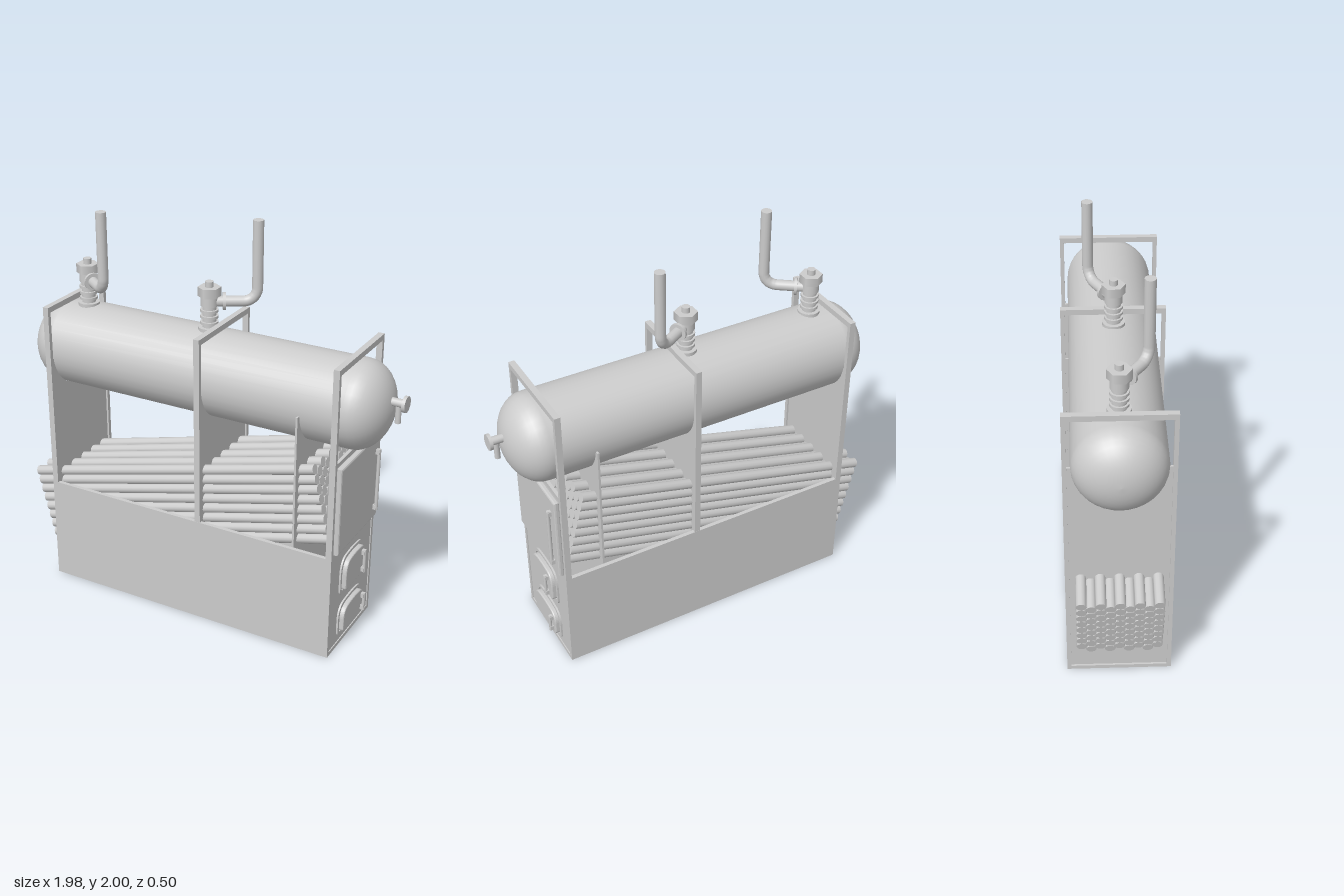
import * as THREE from 'three';

const mat = new THREE.MeshStandardMaterial({ color: 0xcccccc, side: THREE.DoubleSide });

function add(parent, name, geo, x = 0, y = 0, z = 0) {
  const m = new THREE.Mesh(geo, mat);
  m.name = name;
  m.position.set(x, y, z);
  parent.add(m);
  return m;
}
function group(parent, name) {
  const g = new THREE.Group();
  g.name = name;
  parent.add(g);
  return g;
}
const box = (w, h, d) => new THREE.BoxGeometry(w, h, d);
const cyl = (r, h, n = 16) => new THREE.CylinderGeometry(r, r, h, n);

// Extrudes a shape drawn in the (-z, y) plane along +x
function extrudeX(shape, depth, bevel = 0) {
  return new THREE.ExtrudeGeometry(shape, {
    depth, curveSegments: 10, bevelEnabled: bevel > 0,
    bevelSize: bevel, bevelThickness: bevel, bevelOffset: -bevel, bevelSegments: 2,
  }).rotateY(Math.PI / 2);
}

function rectPath(Type, w, y0, y1) {
  const p = new Type();
  p.moveTo(-w, y0);
  p.lineTo(w, y0);
  p.lineTo(w, y1);
  p.lineTo(-w, y1);
  p.closePath();
  return p;
}

// Arched fire-door outline with rounded lower corners
function archPath(Type, w, y0, y1) {
  const r = 0.02, k = y0 + (y1 - y0) * 0.55, t = w * 0.55;
  const p = new Type();
  p.moveTo(-w + r, y0);
  p.lineTo(w - r, y0);
  p.quadraticCurveTo(w, y0, w, y0 + r);
  p.lineTo(w, k);
  p.quadraticCurveTo(w * 0.97, y1 - 0.01, t, y1 - 0.003);
  p.quadraticCurveTo(0, y1 + 0.006, -t, y1 - 0.003);
  p.quadraticCurveTo(-w * 0.97, y1 - 0.01, -w, k);
  p.lineTo(-w, y0 + r);
  p.quadraticCurveTo(-w, y0, -w + r, y0);
  return p;
}

const DRUM_Y = 1.255, DRUM_R = 0.215;

// Support plate with a round cradle for the drum
function saddleShape(w, y0, y1) {
  const a = Math.asin((y1 - DRUM_Y) / DRUM_R);
  const s = new THREE.Shape();
  s.moveTo(-w, y0);
  s.lineTo(w, y0);
  s.lineTo(w, y1);
  s.absarc(0, DRUM_Y, DRUM_R, a, -Math.PI - a, true);
  s.lineTo(-w, y1);
  s.closePath();
  return s;
}

function addHandle(parent, z, y0, y1, x, r) {
  const g = group(parent, 'doorHandle');
  add(g, 'handleBar', cyl(r, y1 - y0, 10), x, (y0 + y1) / 2, z);
  for (const y of [y0 + 0.015, y1 - 0.015])
    add(g, 'handleBracket', box(x - 0.755, 0.024, 0.022), (x + 0.763) / 2, y, z);
}

function addFireDoor(parent, w, y0, y1, handleZ) {
  const g = group(parent, 'fireDoor');
  const rim = archPath(THREE.Shape, w + 0.02, y0 - 0.018, y1 + 0.018);
  rim.holes.push(archPath(THREE.Path, w + 0.005, y0 - 0.004, y1 + 0.004));
  add(g, 'doorSurround', extrudeX(rim, 0.012), 0.752);
  add(g, 'doorLeaf', extrudeX(archPath(THREE.Shape, w, y0, y1), 0.022, 0.006), 0.756);
  addHandle(g, handleZ, y0 + 0.015, y1 - 0.025, 0.797, 0.008);
}

// Safety valve with a discharge pipe leading to (px, pz)
function addValve(parent, x, px, pz) {
  const g = group(parent, 'safetyValve');
  const stack = [ // radius, bottom, top
    [0.054, 1.45, 1.48], [0.034, 1.48, 1.64], [0.044, 1.495, 1.508], [0.044, 1.525, 1.538],
    [0.044, 1.555, 1.568], [0.042, 1.585, 1.635], [0.02, 1.67, 1.705],
  ];
  for (const [r, a, b] of stack) add(g, 'valveBody', cyl(r, b - a, 20), x, (a + b) / 2, 0);
  add(g, 'valveCap', cyl(0.056, 0.045, 6), x, 1.655, 0);
  const y = 1.605, bend = 0.065;
  const start = new THREE.Vector3(x, y, 0), corner = new THREE.Vector3(px, y, pz);
  const dir = corner.clone().sub(start).normalize();
  const bendStart = corner.clone().addScaledVector(dir, -bend);
  const bendEnd = new THREE.Vector3(px, y + bend, pz);
  const top = new THREE.Vector3(px, 2, pz);
  const across = dir.clone().multiplyScalar(bend);
  const pts = [start];
  for (let i = 0; i <= 8; i++) {
    const a = (i / 8) * Math.PI / 2;
    pts.push(bendStart.clone().addScaledVector(across, Math.sin(a))
      .add(new THREE.Vector3(0, bend * (1 - Math.cos(a)), 0)));
  }
  pts.push(bendEnd.clone().lerp(top, 0.1), top);
  const path = new THREE.CurvePath();
  for (let i = 1; i < pts.length; i++) path.add(new THREE.LineCurve3(pts[i - 1], pts[i]));
  add(g, 'dischargePipe', new THREE.TubeGeometry(path, 64, 0.026, 14));
  add(g, 'pipeEnd', new THREE.CircleGeometry(0.026, 14).rotateX(-Math.PI / 2), px, 2, pz);
  const p = start.clone().addScaledVector(dir, 0.07);
  const flange = add(g, 'pipeFlange', cyl(0.043, 0.014, 18), p.x, p.y, p.z);
  flange.quaternion.setFromUnitVectors(new THREE.Vector3(0, 1, 0), dir);
}

export function createModel() {
  const model = new THREE.Group();
  model.name = 'waterTubeBoiler';

  // Open-topped brick casing
  const casing = group(model, 'casing');
  for (const s of [-1, 1]) add(casing, 'sideWall', box(1.58, 0.55, 0.02), -0.03, 0.275, s * 0.24);
  add(casing, 'floor', box(1.58, 0.02, 0.5), -0.03, 0.01, 0);

  // Three upright frames; the end ones reach the ground
  for (const [x, y0] of [[-0.805, 0], [0.04, 0.02], [0.745, 0]]) {
    const s = rectPath(THREE.Shape, y0 ? 0.249 : 0.25, y0, 1.51);
    s.holes.push(rectPath(THREE.Path, 0.23, y0 + 0.02, 1.482));
    add(model, 'uprightFrame', extrudeX(s, 0.03), x - 0.015);
  }

  // Plates cradling the drum
  for (const x of [-0.805, 0.04, 0.55])
    add(model, 'saddlePlate', extrudeX(saddleShape(0.23, 0.02, 1.228), 0.01), x - 0.005);
  add(model, 'frontPlate', box(0.016, 1.02, 0.46), 0.747, 0.53, 0);

  // Steam drum with domed ends
  const profile = [];
  for (let i = 0; i <= 10; i++) {
    const a = (i / 10) * Math.PI / 2;
    profile.push(new THREE.Vector2(DRUM_R * Math.sin(a), -0.825 - 0.165 * Math.cos(a)));
  }
  for (let i = 10; i >= 0; i--) {
    const a = (i / 10) * Math.PI / 2;
    profile.push(new THREE.Vector2(DRUM_R * Math.sin(a), 0.76 + 0.16 * Math.cos(a)));
  }
  const drum = new THREE.LatheGeometry(profile, 32).rotateZ(-Math.PI / 2);
  add(model, 'steamDrum', drum, 0, DRUM_Y, 0);

  // Sloping bundle of staggered water tubes
  const bundle = group(model, 'tubeBundle');
  const slope = 0.257, length = 1.64, pitch = 0.0508;
  bundle.position.set(-0.965, 0.57, 0);
  bundle.rotation.z = slope;
  const tube = cyl(0.025, length, 12).rotateZ(Math.PI / 2);
  for (let c = 0; c < 9; c++)
    for (let r = 0; r < 8; r++)
      add(bundle, 'waterTube', tube, length / 2, -0.025 - (r + (c % 2) / 2) * pitch, (c - 4) * 0.0445);

  // Access door and two fire doors on the end
  const hatch = group(model, 'accessDoor');
  add(hatch, 'doorLeaf', extrudeX(rectPath(THREE.Shape, 0.228, 0.568, 1.02), 0.012, 0.009), 0.762);
  addHandle(hatch, -0.18, 0.62, 0.95, 0.797, 0.009);
  addFireDoor(model, 0.115, 0.31, 0.475, -0.07);
  addFireDoor(model, 0.122, 0.077, 0.215, -0.09);

  // Safety valves on the drum
  addValve(model, -0.72, -0.537, 0.135);
  addValve(model, -0.03, 0.165, -0.115);

  // Drain cock on the drum end
  const cock = group(model, 'drainCock');
  add(cock, 'cockStem', cyl(0.02, 0.08).rotateZ(Math.PI / 2), 0.935, 1.3, 0);
  add(cock, 'cockDisc', cyl(0.039, 0.016, 20).rotateZ(Math.PI / 2), 0.978, 1.3, 0);
  add(cock, 'cockSpout', cyl(0.014, 0.1, 12), 0.945, 1.25, 0);

  return model;
}
